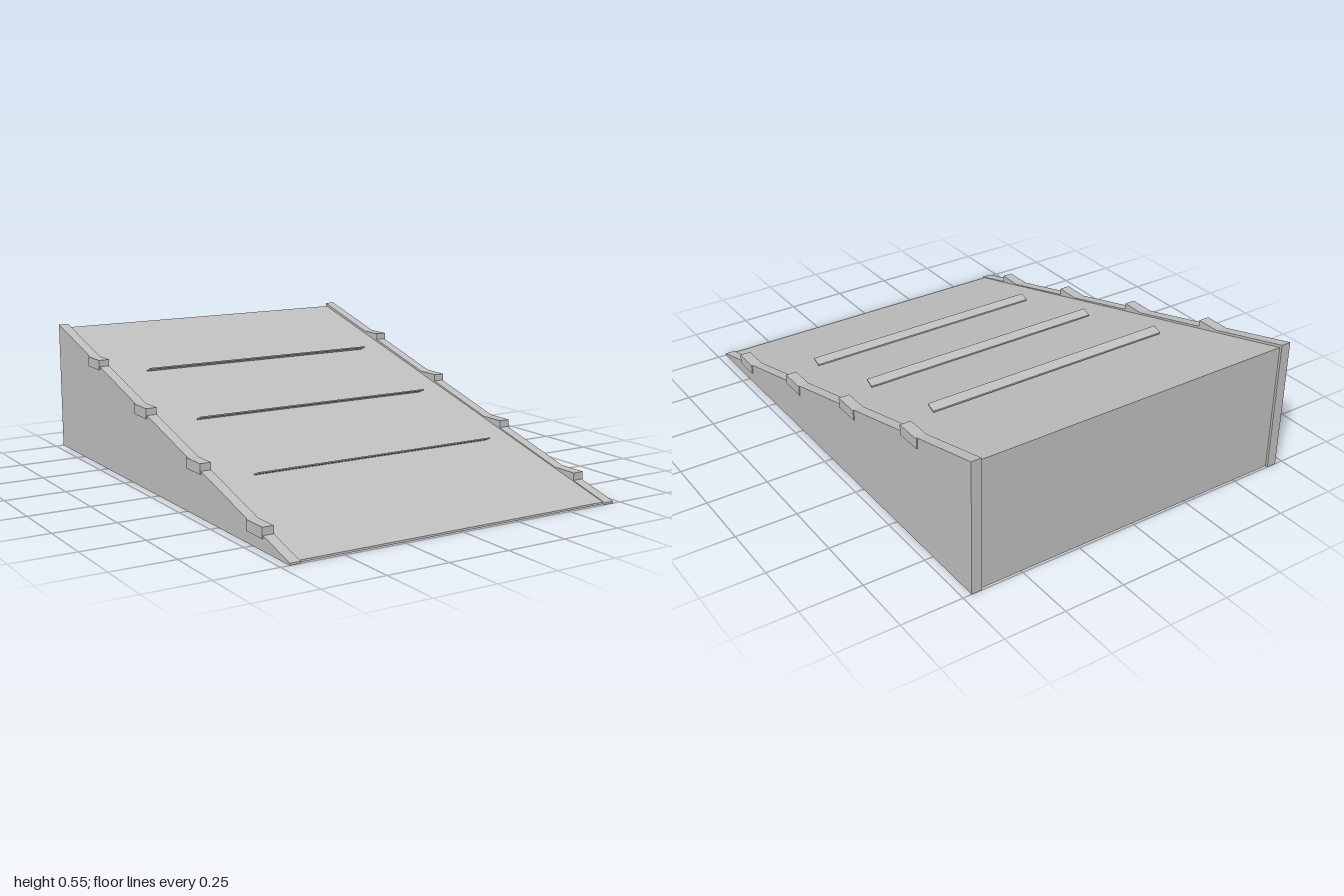
import * as THREE from 'three';

export function createModel() {
  const group = new THREE.Group();
  const grey = new THREE.MeshStandardMaterial({ color: 0xbebebe });
  grey.name = 'grey';

  // Extrudes a (z, y) profile along x, centred on the given x.
  function addProfile(name, points, width, x) {
    const shape = new THREE.Shape(points.map(([z, y]) => new THREE.Vector2(z, y)));
    const geometry = new THREE.ExtrudeGeometry(shape, { depth: width, bevelEnabled: false });
    geometry.translate(0, 0, -width / 2);
    geometry.rotateY(-Math.PI / 2);
    const mesh = new THREE.Mesh(geometry, grey);
    mesh.name = name;
    mesh.position.x = x;
    group.add(mesh);
  }

  // Solid ramp between the side walls
  addProfile('rampBody', [[0.988, 0], [0.988, 0.008], [-0.99, 0.533], [-0.99, 0]], 1.35, 0);

  // Triangular side walls with clips along their sloping edges
  for (const side of [-1, 1]) {
    const label = side > 0 ? 'left' : 'right';
    addProfile(label + 'Wall', [[1, 0], [1, 0.008], [-1, 0.547], [-1, 0]], 0.042, side * 0.694);
    for (let i = 0; i < 4; i++) {
      const clip = new THREE.Mesh(new THREE.BoxGeometry(0.046, 0.041, 0.112), grey);
      clip.name = label + 'Clip' + (i + 1);
      clip.position.set(side * 0.696, 0.065 + i * 0.1225, 0.767 - i * 0.458);
      group.add(clip);
    }
  }

  // Thin grip slats, front edges raised off the slope
  for (let i = 0; i < 3; i++) {
    const z = 0.457 - i * 0.458;
    const y = 0.167 + i * 0.1225;
    addProfile('gripSlat' + (i + 1), [
      [z - 0.019, y - 0.011], [z + 0.017, y + 0.003],
      [z + 0.018, y + 0.009], [z - 0.019, y - 0.005],
    ], 1.07, 0);
  }
  return group;
}
